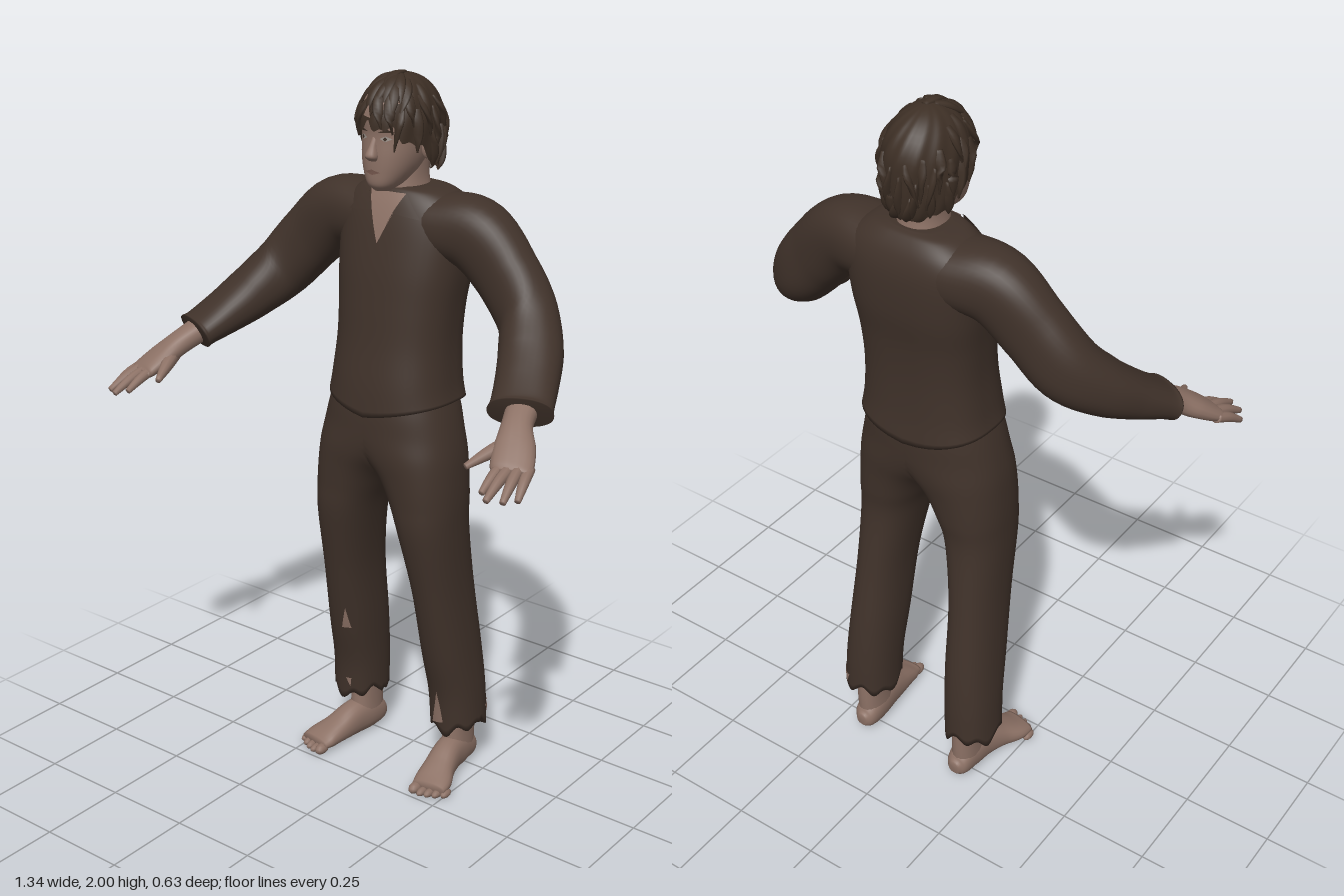
import * as THREE from 'three';

const mat = (name, color) => {
  const m = new THREE.MeshStandardMaterial({ color, side: THREE.DoubleSide });
  m.name = name;
  return m;
};
const ROUND = 0.88; // below 1 makes cross-sections a little boxy
const spow = (v, e) => Math.sign(v) * Math.pow(Math.abs(v), e);

// Smooth section [x, y, z, halfWidth, halfDepth] at parameter t along a list of keys
function sections(keys) {
  const V = THREE.Vector3;
  const path = new THREE.CatmullRomCurve3(keys.map((k) => new V(k[0], k[1], k[2])), false, 'catmullrom');
  const size = new THREE.CatmullRomCurve3(keys.map((k) => new V(k[3], k[4], 0)), false, 'catmullrom');
  return { path, at: (t) => ({ p: path.getPoint(t), s: size.getPoint(t) }) };
}

// Closed loft: upright ones run top-down with level rings, others follow their path.
// back: boxiness of the rear half; half: keep only the side x * half > 0
function loft(keys, { upright = false, sides = 28, steps = 6, hem = null, back = ROUND, half = 0 } = {}) {
  const sec = sections(keys), rows = (keys.length - 1) * steps;
  const pos = [], idx = [], cut = [], up = new THREE.Vector3(0, 1, 0);
  for (let i = 0; i <= rows; i++) {
    const t = i / rows, { p, s } = sec.at(t);
    let u = new THREE.Vector3(1, 0, 0), v = new THREE.Vector3(0, 0, 1);
    if (!upright) {
      const d = sec.path.getTangent(t);
      u = up.clone().cross(d).normalize();
      v = d.clone().cross(u);
    }
    for (let j = 0; j < sides; j++) {
      const a = (j / sides) * Math.PI * 2, e = Math.sin(a) < 0 ? back : ROUND;
      const q = p.clone().addScaledVector(u, s.x * spow(Math.cos(a), e)).addScaledVector(v, s.y * spow(Math.sin(a), e));
      if (hem) q.y += hem(a, j) * Math.pow(t, 12);
      if (half && q.x * half < 1e-6) {
        q.x = 0;
        cut.push(i * sides + j);
      }
      pos.push(q.x, q.y, q.z);
    }
  }
  for (let i = 0; i < rows; i++) for (let j = 0; j < sides; j++) {
    const k = (j + 1) % sides, A = i * sides, B = A + sides;
    idx.push(A + j, A + k, B + j, A + k, B + k, B + j);
  }
  const c0 = pos.length / 3, last = rows * sides;
  for (const t of [0, 1]) pos.push(...sec.at(t).p.toArray());
  for (let j = 0; j < sides; j++) {
    const k = (j + 1) % sides;
    idx.push(c0, k, j, c0 + 1, last + j, last + k);
  }
  const g = build(pos, idx), n = g.attributes.normal;
  // Both halves share the same normals along the middle
  for (const i of cut) {
    const w = new THREE.Vector3(0, n.getY(i), n.getZ(i)).normalize();
    n.setXYZ(i, w.x, w.y, w.z);
  }
  return g;
}

function build(pos, idx) {
  const g = new THREE.BufferGeometry();
  g.setAttribute('position', new THREE.Float32BufferAttribute(pos, 3));
  g.setIndex(idx);
  g.computeVertexNormals();
  return g;
}

// z of an upright loft's front (dir 1) or back (dir -1) at x, y
function surfaceZ(keys, x, y, dir) {
  const { at } = sections(keys);
  let lo = 0, hi = 1;
  for (let i = 0; i < 18; i++) {
    const m = (lo + hi) / 2;
    if (at(m).p.y > y) lo = m; else hi = m;
  }
  const { p, s } = at(lo), r = Math.min(1, Math.abs(x - p.x) / s.x);
  return p.z + dir * s.y * Math.pow(1 - Math.pow(r, 2 / ROUND), ROUND / 2);
}

// Thin triangular patch lying on an upright loft; corners are [x, y]
function patch(keys, [a, b, c], off = 0.004, dir = 1, n = 8) {
  const pos = [], idx = [], id = (i, j) => (i * (i + 1)) / 2 + j;
  for (let i = 0; i <= n; i++) for (let j = 0; j <= i; j++) {
    const w = [1 - i / n, (i - j) / n, j / n];
    const x = a[0] * w[0] + b[0] * w[1] + c[0] * w[2], y = a[1] * w[0] + b[1] * w[1] + c[1] * w[2];
    pos.push(x, y, surfaceZ(keys, x, y, dir) + dir * off);
    if (i < n) idx.push(id(i, j), id(i + 1, j), id(i + 1, j + 1));
    if (i < n && j < i) idx.push(id(i, j), id(i + 1, j + 1), id(i, j + 1));
  }
  const cross = (b[0] - a[0]) * (c[1] - a[1]) - (b[1] - a[1]) * (c[0] - a[0]);
  if (cross * dir < 0) idx.reverse();
  return build(pos, idx);
}

const SHIRT = [[0, 1.712, -0.19, 0.07, 0.066], [0, 1.7, -0.195, 0.13, 0.084], [0, 1.66, -0.198, 0.18, 0.106],
  [0, 1.6, -0.194, 0.19, 0.122], [0, 1.5, -0.181, 0.185, 0.131], [0, 1.4, -0.166, 0.174, 0.13],
  [0, 1.3, -0.156, 0.17, 0.132], [0, 1.2, -0.148, 0.177, 0.14], [0, 1.125, -0.147, 0.187, 0.147]];
const LEG = [[0, 1.18, -0.15, 0.168, 0.132], [0, 1.12, -0.147, 0.187, 0.14], [0.012, 1.06, -0.144, 0.19, 0.14],
  [0.06, 1, -0.141, 0.153, 0.136], [0.1, 0.94, -0.139, 0.118, 0.128], [0.123, 0.87, -0.138, 0.098, 0.122],
  [0.139, 0.78, -0.138, 0.082, 0.115], [0.155, 0.6, -0.166, 0.068, 0.106], [0.165, 0.4, -0.2, 0.07, 0.1],
  [0.172, 0.27, -0.221, 0.072, 0.09], [0.176, 0.165, -0.227, 0.073, 0.086]];
const ARM = [[0, 1.605, -0.2, 0.105, 0.085], [0.12, 1.611, -0.2, 0.102, 0.087], [0.225, 1.598, -0.196, 0.085, 0.096],
  [0.32, 1.515, -0.188, 0.072, 0.092], [0.4, 1.425, -0.165, 0.076, 0.086], [0.455, 1.36, -0.1, 0.082, 0.073],
  [0.495, 1.31, -0.025, 0.08, 0.058], [0.527, 1.272, 0.045, 0.079, 0.045], [0.536, 1.262, 0.066, 0.083, 0.045]];
const PALM = [[0.525, 1.275, 0.03, 0.042, 0.034], [0.55, 1.242, 0.1, 0.039, 0.031], [0.577, 1.208, 0.15, 0.051, 0.028],
  [0.6, 1.178, 0.195, 0.053, 0.021], [0.608, 1.167, 0.215, 0.046, 0.014]];
const FINGERS = [ // base, then tip
  [0.636, 1.175, 0.175, 0.663, 1.128, 0.264], [0.618, 1.178, 0.19, 0.643, 1.13, 0.297],
  [0.597, 1.178, 0.193, 0.608, 1.132, 0.315], [0.575, 1.18, 0.185, 0.58, 1.138, 0.292]];
const THUMB = [[0.565, 1.217, 0.11, 0.021, 0.02], [0.534, 1.198, 0.18, 0.018, 0.017], [0.505, 1.173, 0.25, 0.008, 0.008]];
const ANKLE = [[0.168, 0.34, -0.23, 0.042, 0.048], [0.17, 0.2, -0.24, 0.04, 0.054], [0.168, 0.12, -0.24, 0.037, 0.058], [0.167, 0.05, -0.235, 0.038, 0.062]];
const FOOT = [[0.165, 0.044, -0.31, 0.016, 0.018], [0.165, 0.045, -0.288, 0.034, 0.036], [0.167, 0.056, -0.24, 0.04, 0.052],
  [0.174, 0.057, -0.18, 0.041, 0.052], [0.186, 0.044, -0.12, 0.046, 0.038], [0.201, 0.032, -0.07, 0.054, 0.026], [0.207, 0.027, -0.035, 0.05, 0.016]];
const HEAD = [[0, 1.98, -0.16, 0.03, 0.04], [0, 1.95, -0.16, 0.07, 0.098], [0, 1.9, -0.157, 0.08, 0.113],
  [0, 1.85, -0.151, 0.079, 0.105], [0, 1.8, -0.14, 0.075, 0.097], [0, 1.76, -0.123, 0.063, 0.08],
  [0, 1.726, -0.1, 0.042, 0.054], [0, 1.708, -0.09, 0.02, 0.028]];
const NECK = [[0, 1.83, -0.195, 0.06, 0.07], [0, 1.75, -0.185, 0.056, 0.064], [0, 1.7, -0.185, 0.062, 0.068], [0, 1.62, -0.19, 0.08, 0.08]];
const NOSE = [[0, 1.85, -0.056, 0.007, 0.009], [0, 1.825, -0.046, 0.01, 0.014], [0, 1.802, -0.039, 0.016, 0.019], [0, 1.789, -0.046, 0.012, 0.012]];

// Hair surface: azimuth f (0 = front), p = angle down from the crown
const hairEnd = (f) => 1.56 + 1.3 * (1 - Math.cos(f)) / 2 + 0.08 * Math.sin(f * 9) + 0.05 * Math.sin(f * 17 + 1);
function hairPoint(f, p, grow = 1) {
  const low = Math.max(0, p - Math.PI / 2) / (Math.PI / 2);
  const r = (low > 0 ? 1 - 0.25 * low * low : Math.sin(p)) * grow * (1 + 0.015 * Math.sin(f * 14 + p * 5));
  return [0.096 * r * Math.sin(f), 1.875 + (low > 0 ? 0.14 : 0.122) * Math.cos(p), -0.165 + 0.128 * r * Math.cos(f)];
}

export function createModel() {
  const root = new THREE.Group();
  root.name = 'figure';
  const skin = mat('skin', 0x8c7165), cloth = mat('brown cloth', 0x40322a), hair = mat('dark hair', 0x3d2f25);
  const lips = mat('lips', 0x76584e), white = mat('eye white', 0x9c938b);
  const add = (name, geo, m) => {
    const mesh = new THREE.Mesh(geo, m);
    mesh.name = name;
    root.add(mesh);
    return mesh;
  };
  const diamond = (name, x, y, w, h, m, off) => {
    for (const s of [-1, 1]) add(name, patch(HEAD, [[x - w, y], [x + w, y], [x, y + s * h]], off, 1, 4), m);
  };

  // Shirt and its open neck
  add('shirt', loft(SHIRT, { upright: true, sides: 48, back: 0.7, hem: (a) => 0.04 * Math.abs(Math.cos(a)) - 0.016 }), cloth);
  add('openNeck', patch(SHIRT, [[-0.056, 1.7], [0.056, 1.7], [0, 1.57]], 0.005), skin);

  // Head and face
  add('neck', loft(NECK, { upright: true }), skin);
  add('head', loft(HEAD, { upright: true, sides: 36 }), skin);
  add('nose', loft(NOSE, { upright: true, sides: 14 }), skin);
  diamond('mouth', 0, 1.76, 0.024, 0.007, lips, 0.004);
  add('fringeGap', patch(HEAD, [[-0.016, 1.905], [0.006, 1.9], [-0.004, 1.932]], 0.02), skin);

  for (const s of [1, -1]) {
    const m = (keys) => keys.map(([x, ...rest]) => [x * s, ...rest]);

    diamond('eye', s * 0.034, 1.846, 0.015, 0.007, white, 0.002);
    diamond('iris', s * 0.034, 1.846, 0.005, 0.006, hair, 0.004);
    add('brow', patch(HEAD, [[s * 0.014, 1.862], [s * 0.056, 1.862], [s * 0.04, 1.87]], 0.004), hair);
    const ear = add('ear', new THREE.SphereGeometry(1, 14, 10), skin);
    ear.scale.set(0.01, 0.03, 0.018);
    ear.position.set(s * 0.081, 1.815, -0.165);
    ear.rotation.y = s * -0.3;

    // Collar flap
    add('collarFlap', patch(SHIRT, [[s * 0.06, 1.702], [s * 0.115, 1.642], [s * 0.035, 1.652]], 0.011), cloth);
    add('collarEdge', patch(SHIRT, [[s * 0.06, 1.702], [s * 0.035, 1.652], [s * 0.02, 1.615]], 0.009), cloth);

    // Sleeve with its half of the shoulder yoke, and hand
    add('sleeve', loft(m(ARM), { sides: 36 }), cloth);
    add('palm', loft(m(PALM), { sides: 18 }), skin);
    add('thumb', loft(m(THUMB), { sides: 10 }), skin);
    for (const [x, y, z, X, Y, Z] of FINGERS) {
      const mid = [(x + X) / 2, (y + Y) / 2 + 0.005, (z + Z) / 2, 0.0135, 0.013];
      add('finger', loft(m([[x, y, z, 0.015, 0.014], mid, [X, Y, Z, 0.008, 0.008]]), { sides: 10 }), skin);
    }

    // Half of the trousers with a ragged hem, then ankle and foot
    add('trouserLeg', loft(m(LEG), { upright: true, sides: 64, half: s, hem: (a, j) => 0.012 * Math.sin(j * 0.7 + s) + 0.01 * Math.sin(j * 0.31) - 0.006 }), cloth);
    add('ankle', loft(m(ANKLE), { upright: true, sides: 20 }), skin);
    add('foot', loft(m(FOOT), { sides: 22 }), skin);
    for (let i = 0; i < 5; i++) {
      const toe = add('toe', new THREE.SphereGeometry(1, 12, 8), skin);
      const r = i ? 0.0115 : 0.016;
      toe.scale.set(r, r, 0.026 - i * 0.001);
      toe.position.set(s * (0.171 + i * 0.02 + (i ? 0.003 : 0)), r + 0.005, -0.026 - i * i * 0.002);
    }
  }

  // Rips in the trousers
  const right = LEG.map(([x, ...r]) => [-x, ...r]);
  const rips = [[LEG, [[0.145, 0.175], [0.185, 0.185], [0.168, 0.285]], 1], [right, [[-0.15, 0.4], [-0.125, 0.4], [-0.132, 0.47]], 1],
    [right, [[-0.165, 0.215], [-0.148, 0.215], [-0.152, 0.185]], 1], [LEG, [[0.2, 0.208], [0.224, 0.208], [0.214, 0.172]], -1],
    [LEG, [[0.228, 0.208], [0.244, 0.208], [0.237, 0.172]], -1]];
  for (const [keys, tri, dir] of rips) add('rip', patch(keys, tri, 0.004, dir), skin);

  // Hair cap
  const pos = [], idx = [], nf = 96, np = 20;
  for (let i = 0; i <= np; i++) for (let j = 0; j < nf; j++) {
    const f = (j / nf) * Math.PI * 2;
    pos.push(...hairPoint(f, (i / np) * hairEnd(f)));
  }
  for (let i = 0; i < np; i++) for (let j = 0; j < nf; j++) {
    const k = (j + 1) % nf, A = i * nf, B = A + nf;
    idx.push(A + j, B + j, A + k, A + k, B + j, B + k);
  }
  add('hairCap', build(pos, idx), hair);

  // Loose locks around the edge and over the crown
  let seed = 7;
  const rnd = () => (seed = (seed * 16807) % 2147483647) / 2147483647;
  for (let i = 0; i < 48; i++) {
    const f = (i / 48) * Math.PI * 2, end = hairEnd(f) + 0.2 * rnd() - (i % 3) * 0.35, turn = 0.7 * (rnd() - 0.5);
    const keys = [0, 1, 2, 3].map((k) => [
      ...hairPoint(f + turn * k / 3, Math.min(3.05, end - 0.85 + k * 0.283), 0.985 + 0.012 * k),
      [0.008, 0.015, 0.013, 0.002][k], [0.004, 0.008, 0.006, 0.002][k]]);
    add('hairLock', loft(keys, { sides: 8, steps: 4 }), hair);
  }
  return root;
}
